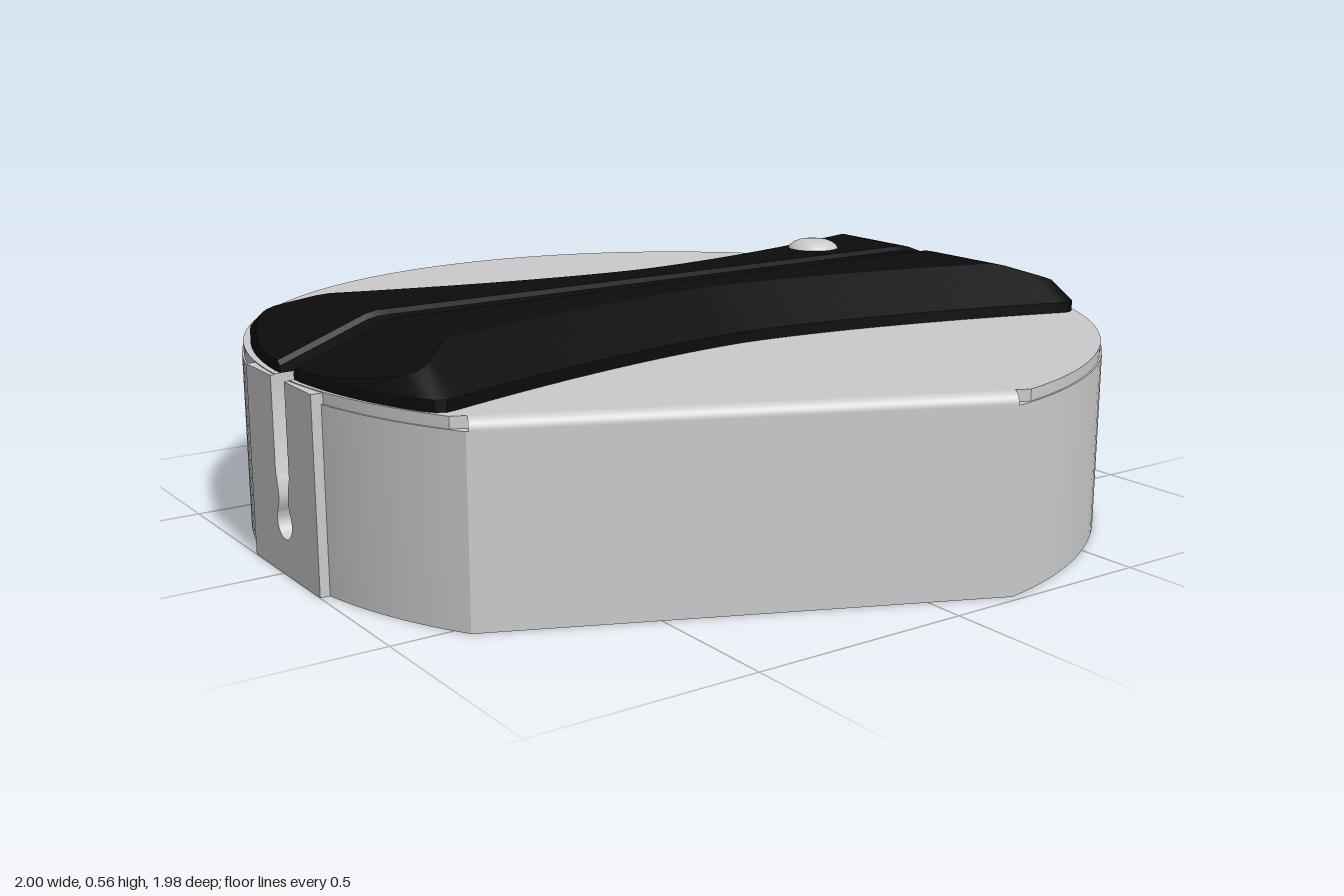
import * as THREE from 'three';
import { toCreasedNormals } from 'three/addons/utils/BufferGeometryUtils.js';

const R = 0.995, CHORD = 0.828, MID = 1.992; // disc radius, distance and direction of the flat side
const CZ = 0.003, SLOT_Z = 0.017, GAP = 0.035; // disc centre, slot centre, half slot width
const TOP = 0.43;

const grey = new THREE.MeshStandardMaterial({ color: 0xcccccc });
const black = new THREE.MeshStandardMaterial({ color: 0x0c0c0c });

function add(parent, name, geometry, material = grey) {
  const mesh = new THREE.Mesh(geometry, material);
  mesh.name = name;
  parent.add(mesh);
  return mesh;
}

// points [x, z] on an arc about the disc centre
function arc(r, t0, t1, n) {
  return Array.from({ length: n + 1 }, (_, i) => {
    const t = t0 + ((t1 - t0) * i) / n;
    return [r * Math.cos(t), CZ + r * Math.sin(t)];
  });
}

// half outlines of the disc, from the right end to the left end
function frontLine(r, d, z) {
  const a = Math.asin((z - CZ) / r), half = Math.acos(d / r);
  return [...arc(r, a, MID - half, 32), ...arc(r, MID + half, Math.PI - a, 16)];
}
function backLine(r, z) {
  const a = Math.asin((z - CZ) / r);
  return arc(r, a, -Math.PI - a, 80);
}

// extrudes a plan outline of [x, z] points between two heights
function slab(points, y0, y1) {
  const shape = new THREE.Shape(points.map(([x, z]) => new THREE.Vector2(x, -z)));
  const g = new THREE.ExtrudeGeometry(shape, { depth: y1 - y0, bevelEnabled: false });
  g.rotateX(-Math.PI / 2).translate(0, y0, 0);
  return toCreasedNormals(g, 0.3);
}

// end block with a keyhole slot, tapering towards the inside
function endBlock() {
  const w = 0.167, h = TOP - 0.002, s = new THREE.Shape();
  s.moveTo(-w, 0);
  s.lineTo(w, 0);
  s.lineTo(w, h);
  s.lineTo(GAP, h);
  s.lineTo(GAP, 0.22);
  s.quadraticCurveTo(0.024, 0.19, 0.024, 0.165);
  s.quadraticCurveTo(0.026, 0.15, 0.034, 0.135);
  s.absarc(0, 0.118, 0.038, 0.46, -Math.PI - 0.46, true);
  s.quadraticCurveTo(-0.026, 0.15, -0.024, 0.165);
  s.quadraticCurveTo(-0.024, 0.19, -GAP, 0.22);
  s.lineTo(-GAP, h);
  s.lineTo(-w, h);
  const g = new THREE.ExtrudeGeometry(s, { depth: 0.09, steps: 3, bevelEnabled: false, curveSegments: 10 });
  const p = g.attributes.position;
  for (let i = 0; i < p.count; i++) {
    if (p.getZ(i) < 0.01 && Math.abs(p.getX(i)) > 0.1) p.setX(i, Math.sign(p.getX(i)) * 0.1);
  }
  g.rotateY(Math.PI / 2).translate(0.91, 0, 0);
  g.deleteAttribute('normal');
  return toCreasedNormals(g, 0.5);
}

// bevelled grip with a concave outer edge; side = 1 front, -1 back
function grip(side) {
  const N = 72, X = 0.978, pos = [], idx = [], M = 6;
  for (let i = 0; i <= N; i++) {
    const x = -X * Math.cos((Math.PI * i) / N), ax = Math.abs(x);
    const curve = 0.28 + 0.18 * Math.pow(ax / 0.86, 1.6);
    const end = Math.sqrt(0.98 * 0.98 - x * x);
    const k = Math.max(0.06 - Math.abs(curve - end), 0) / 0.06;
    const zo = Math.max(Math.min(curve, end) - k * k * 0.015, GAP + 0.014);
    const h = Math.min(0.535, 0.455 + (X - ax) * 0.37);
    const zt = Math.max(zo - (h - 0.455) * 1.75, GAP + 0.013);
    const section = [[GAP, TOP], [GAP, h - 0.01], [GAP + 0.012, h], [zt, h], [zo, 0.455], [zo, TOP]];
    for (const [z, y] of section) pos.push(x, y, SLOT_Z + side * z);
  }
  const tri = (a, b, c) => (side > 0 ? idx.push(a, b, c) : idx.push(a, c, b));
  for (let i = 0; i < N; i++) {
    for (let j = 0; j < M; j++) {
      const a = i * M + j, c = i * M + ((j + 1) % M);
      tri(a, c, a + M);
      tri(c, c + M, a + M);
    }
  }
  for (let j = 1; j < M - 1; j++) { // end caps
    tri(0, j + 1, j);
    tri(N * M, N * M + j, N * M + j + 1);
  }
  const g = new THREE.BufferGeometry();
  g.setAttribute('position', new THREE.Float32BufferAttribute(pos, 3));
  g.setIndex(idx);
  return toCreasedNormals(g, 0.4);
}

export function createModel() {
  const model = new THREE.Group();
  model.name = 'slottedDisc';

  // thin outer wall, open underneath
  const wall = 0.02, r2 = R - wall, fillet = 0.025;
  const front = [...frontLine(R, CHORD, 0.12), ...frontLine(r2, CHORD - wall, 0.12).reverse()];
  const back = [...backLine(R, -0.085), ...backLine(r2, -0.085).reverse()];
  add(model, 'frontWall', slab(front, 0, TOP - fillet));
  add(model, 'backWall', slab(back, 0, TOP - fillet));

  // top plate, split by the slot
  const rp = R - 0.004;
  add(model, 'frontTopPlate', slab(frontLine(rp, CHORD - fillet, SLOT_Z + GAP), 0.4, TOP));
  add(model, 'backTopPlate', slab(backLine(rp, SLOT_Z - GAP), 0.4, TOP));

  // rounded upper edge of the flat side
  const length = 2 * Math.sqrt(R * R - CHORD * CHORD) - 0.01;
  const edge = new THREE.CylinderGeometry(fillet, fillet, length, 8, 1, true, 0, Math.PI / 2);
  edge.rotateZ(Math.PI / 2);
  edge.rotateX(0);
  // turn the quarter so that it spans from straight up to straight out
  edge.computeBoundingBox();
  if (edge.boundingBox.max.y < fillet / 2) edge.rotateX(-Math.PI / 2);
  if (edge.boundingBox.max.z < fillet / 2) edge.rotateX(Math.PI / 2);
  edge.translate(0, TOP - fillet, CHORD - fillet);
  const rounded = add(model, 'roundedFlatEdge', edge, new THREE.MeshStandardMaterial({ color: 0xcccccc, side: THREE.DoubleSide }));
  rounded.rotation.y = Math.PI / 2 - MID;
  rounded.position.z = CZ;

  // keyhole blocks at both ends of the slot
  for (const side of [1, -1]) {
    const block = add(model, side > 0 ? 'leftEndBlock' : 'rightEndBlock', endBlock());
    block.position.z = SLOT_Z;
    block.rotation.y = side > 0 ? 0 : Math.PI;
  }

  // grips on both sides of the slot
  add(model, 'frontGrip', grip(1), black);
  add(model, 'backGrip', grip(-1), black);

  // domed button
  const dome = [[0.064, 0], [0.062, 0.006], [0.052, 0.015], [0.038, 0.021], [0.02, 0.023], [0, 0.023]];
  const button = add(model, 'button', new THREE.LatheGeometry(dome.map(([x, y]) => new THREE.Vector2(x, y)), 32));
  button.position.set(0.545, 0.533, -0.14);

  // screw heads under the plate
  const screw = new THREE.SphereGeometry(0.032, 16, 6, 0, Math.PI * 2, Math.PI / 2, Math.PI / 2);
  screw.scale(1, 0.6, 1);
  for (const x of [-0.8, -0.27, 0.27, 0.8]) {
    for (const z of [-0.1, 0.1]) add(model, 'screwHead', screw).position.set(x, 0.4, SLOT_Z + z);
  }
  return model;
}
